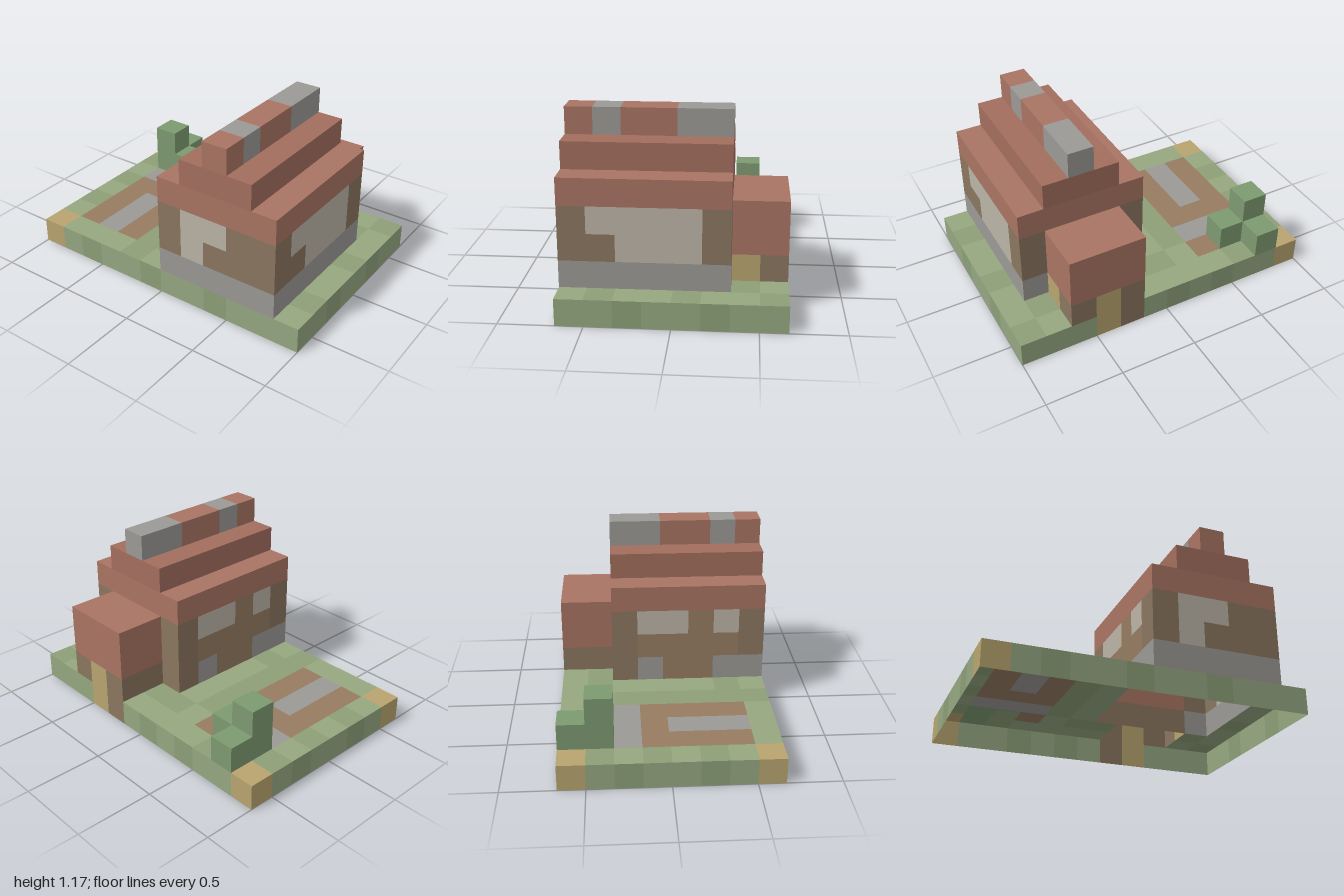
import * as THREE from 'three';
import { mergeGeometries } from 'three/addons/utils/BufferGeometryUtils.js';

const C = 1 / 6; // one block
const COLORS = {
  g: 0x95a780, G: 0x8c9f77, t: 0xb8a46f, s: 0x9b9995, b: 0x8a765f,
  p: 0x967b61, c: 0xbbb4a6, r: 0xa97463, R: 0xa36e5e, l: 0x7d9a70, d: 0x5c5c5c,
};
const materials = {};
for (const key in COLORS) {
  materials[key] = new THREE.MeshStandardMaterial({ color: COLORS[key], side: THREE.DoubleSide, flatShading: true });
}

// block coordinates to model coordinates: x 0..8, y 0..7, z 0..12
const at = (x, y, z) => new THREE.Vector3((x - 4) * C, y * C, (z - 6) * C);
const X = [1, 0, 0], Y = [0, 1, 0], Z = [0, 0, 1];
const neg = (v) => v.map((n) => -n);

// flat sheet of coloured squares; rows run from top to bottom, '.' is a gap
function panel(name, rows, origin, u, v) {
  const group = new THREE.Group();
  group.name = name;
  const byColor = {};
  const U = new THREE.Vector3(...u), V = new THREE.Vector3(...v);
  const frame = new THREE.Matrix4().makeBasis(U, V, U.clone().cross(V)).setPosition(at(...origin));
  rows.forEach((row, r) => [...row].forEach((key, c) => {
    if (key === '.') return;
    const square = new THREE.PlaneGeometry(C, C);
    square.translate((c + 0.5) * C, (rows.length - r - 0.5) * C, 0).applyMatrix4(frame);
    (byColor[key] ??= []).push(square);
  }));
  for (const key in byColor) {
    const mesh = new THREE.Mesh(mergeGeometries(byColor[key]), materials[key]);
    mesh.name = name;
    group.add(mesh);
  }
  return group;
}

// solid block from one corner to the other
function block(name, key, from, to) {
  const a = at(...from), b = at(...to), size = b.clone().sub(a);
  const mesh = new THREE.Mesh(new THREE.BoxGeometry(size.x, size.y, size.z), materials[key]);
  mesh.position.copy(a).add(b).multiplyScalar(0.5);
  mesh.name = name;
  return mesh;
}

// four upright panels around a rectangle
function walls(name, x0, x1, y0, z0, z1, { front, right, back, left }) {
  const group = new THREE.Group();
  group.name = name;
  if (front) group.add(panel(name + 'Front', front, [x0, y0, z1], X, Y));
  if (right) group.add(panel(name + 'PlusX', right, [x1, y0, z1], neg(Z), Y));
  if (back) group.add(panel(name + 'Back', back, [x1, y0, z0], neg(X), Y));
  if (left) group.add(panel(name + 'MinusX', left, [x0, y0, z0], Z, Y));
  return group;
}

export function createModel() {
  const model = new THREE.Group();
  model.name = 'cottage';

  // open-bottomed plot: skirt and lawn with garden paths
  model.add(walls('plotEdge', 0, 8, 0, 0, 12, {
    front: ['ggGggGgg'],
    right: ['gggtbgGgGggt'],
    back: ['tgGggGgt'],
    left: ['tgGggGggGggg'],
  }));
  model.add(panel('lawn', [
    'tgGgGgGt',
    'gppppsGG',
    'gssspsGG',
    'gppppspg',
    'GGGGGGgg',
    'gGggggGg',
    '......Gg',
    '........',
    '........',
    '........',
    '......Gg',
    'gGggGggG',
  ], [0, 1, 12], X, neg(Z)));

  // house walls with windows and stone footing
  model.add(walls('houseWall', 0, 6, 1, 6, 11, {
    front: ['bccccb', 'bbcccb', 'ssssss'],
    right: ['brrrb', 'brrrb', 'sbbbb'],
    back: ['bccpcb', 'bppppb', 'bsppss'],
    left: ['bccbb', 'bcbbb', 'sssss'],
  }));
  model.add(panel('upperFloor', Array(5).fill('dddddd'), [0, 3, 11], X, neg(Z)));

  // stepped roof
  model.add(block('lowerRoof', 'r', [0, 4, 6], [6, 5, 11]));
  model.add(block('middleRoof', 'R', [0, 5, 7], [6, 6, 10]));
  [...'rsrrss'].forEach((key, i) => model.add(block('ridge', key, [i, 6, 8], [i + 1, 7, 9])));

  // side porch with door
  model.add(walls('porchWall', 6, 8, 1, 7, 10, {
    front: ['rr', 'rr', 'tb'],
    right: ['rrr', 'rrr', 'btb'],
    back: ['rr', 'rr', 'bb'],
  }));
  model.add(panel('porchRoof', ['rr', 'rr', 'rr'], [6, 4, 10], X, neg(Z)));

  // corner shrub
  model.add(block('shrubTall', 'l', [6, 1, 1], [7, 3, 2]));
  model.add(block('shrubFront', 'l', [6, 1, 2], [7, 2, 3]));
  model.add(block('shrubSide', 'l', [7, 1, 1], [8, 2, 2]));

  return model;
}
